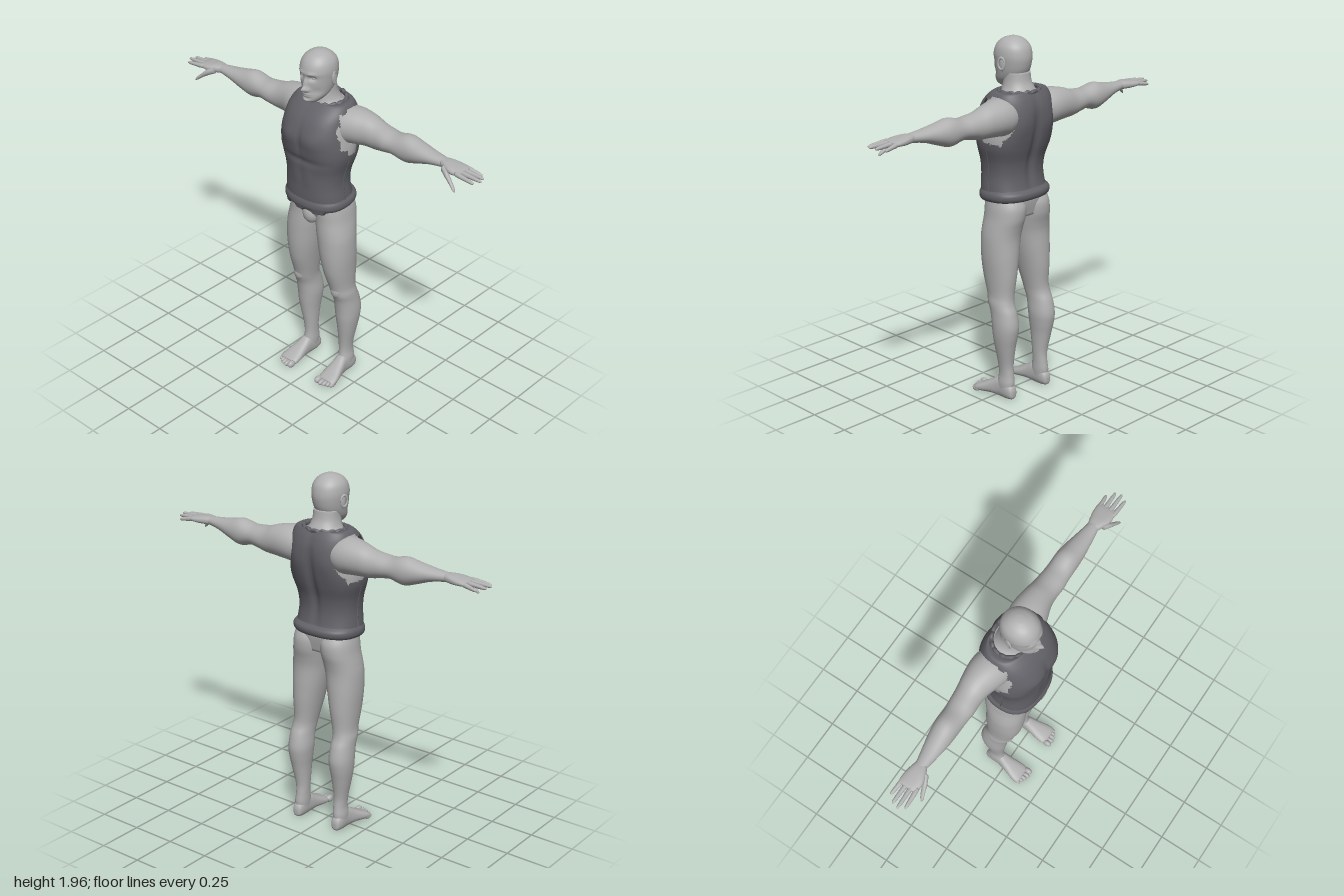
import * as THREE from 'three';

const skin = new THREE.MeshStandardMaterial({ color: 0xb0b0b0 });
skin.name = 'skin grey';
const cloth = new THREE.MeshStandardMaterial({ color: 0x626167, side: THREE.DoubleSide });
cloth.name = 'vest dark grey';

// Smooth interpolation of a table row at fractional index u
function rowAt(rows, u) {
  const i = Math.min(Math.floor(u), rows.length - 2), f = u - i;
  const r = k => rows[Math.max(0, Math.min(rows.length - 1, k))];
  return rows[0].map((_, c) => {
    const a = r(i - 1)[c], b = r(i)[c], d = r(i + 1)[c], e = r(i + 2)[c];
    const m0 = (d - a) / 2, m1 = (e - b) / 2, f2 = f * f, f3 = f2 * f;
    return (2 * f3 - 3 * f2 + 1) * b + (f3 - 2 * f2 + f) * m0 + (3 * f2 - 2 * f3) * d + (f3 - f2) * m1;
  });
}

// Loft of superellipse rings. Row: [t, a0, a1, b0, b1], axes (t,a,b) = xyz, yzx or zxy
function loft(rows, axis, { segs = 32, sub = 5, n = 2.2, caps = true, deform, skip } = {}) {
  const place = (t, a, b) => axis === 'x' ? new THREE.Vector3(t, a, b)
    : axis === 'y' ? new THREE.Vector3(b, t, a) : new THREE.Vector3(a, b, t);
  const pts = [], idx = [], count = (rows.length - 1) * sub + 1;
  const pw = v => Math.sign(v) * Math.abs(v) ** (2 / n);
  for (let i = 0; i < count; i++) {
    const [t, a0, a1, b0, b1] = rowAt(rows, i / sub);
    for (let j = 0; j < segs; j++) {
      const w = j / segs * Math.PI * 2;
      pts.push(place(t, (a0 + a1) / 2 + (a1 - a0) / 2 * pw(Math.cos(w)), (b0 + b1) / 2 + (b1 - b0) / 2 * pw(Math.sin(w))));
    }
  }
  if (deform) pts.forEach(deform);
  for (let i = 0; i < count - 1; i++) for (let j = 0; j < segs; j++) {
    const k = (j + 1) % segs, a = i * segs + j, b = i * segs + k, c = b + segs, d = a + segs;
    if (skip && skip(pts[a].clone().add(pts[c]).multiplyScalar(0.5))) continue;
    idx.push(a, b, c, a, c, d);
  }
  if (caps) for (const [start, flip] of [[0, true], [(count - 1) * segs, false]]) {
    const mid = new THREE.Vector3();
    for (let j = 0; j < segs; j++) mid.addScaledVector(pts[start + j], 1 / segs);
    const m = pts.push(mid) - 1;
    for (let j = 0; j < segs; j++) {
      const a = start + j, b = start + (j + 1) % segs;
      flip ? idx.push(m, b, a) : idx.push(m, a, b);
    }
  }
  const g = new THREE.BufferGeometry().setFromPoints(pts);
  g.setIndex(idx);
  g.computeVertexNormals();
  return g;
}

function ball(x, y, z, rx, ry, rz) {
  return new THREE.SphereGeometry(1, 20, 14).scale(rx, ry, rz).translate(x, y, z);
}

function mirrored(g) {
  const m = g.clone().scale(-1, 1, 1), ix = m.index.array;
  for (let i = 0; i < ix.length; i += 3) [ix[i], ix[i + 1]] = [ix[i + 1], ix[i]];
  m.computeVertexNormals();
  return m;
}

export function createModel() {
  const root = new THREE.Group();
  root.name = 'figure';
  const add = (name, g, mat = skin) => {
    const m = new THREE.Mesh(g, mat);
    m.name = name;
    root.add(m);
  };
  const pair = (name, g, mat) => { add('left ' + name, g, mat); add('right ' + name, mirrored(g), mat); };
  const bell = (v, x, y, sx, sy) => Math.exp(-(((v.x - x) / sx) ** 2) - ((v.y - y) / sy) ** 2);

  // Head with sculpted face
  add('head', loft([
    [1.695, 0.04, 0.09, -0.025, 0.025], [1.712, 0.0, 0.112, -0.047, 0.047], [1.74, -0.04, 0.114, -0.068, 0.068],
    [1.78, -0.075, 0.113, -0.08, 0.08], [1.83, -0.09, 0.115, -0.088, 0.088], [1.87, -0.091, 0.117, -0.091, 0.091],
    [1.91, -0.08, 0.104, -0.083, 0.083], [1.94, -0.052, 0.077, -0.06, 0.06], [1.956, -0.02, 0.04, -0.028, 0.028],
    [1.96, 0.005, 0.015, -0.005, 0.005]], 'y', {
    segs: 80, sub: 8, n: 2.1, deform: v => {
      if (v.z < 0.03) return;
      const s = { x: Math.abs(v.x), y: v.y };
      v.z += 0.03 * bell(v, 0, 1.777, 0.013, 0.014) + 0.017 * bell(v, 0, 1.805, 0.011, 0.028)
        + 0.009 * bell(s, 0.016, 1.772, 0.008, 0.009) - 0.015 * bell(s, 0.034, 1.838, 0.018, 0.013)
        + 0.006 * bell(s, 0.03, 1.861, 0.026, 0.009) + 0.009 * bell(v, 0, 1.75, 0.024, 0.005)
        + 0.008 * bell(v, 0, 1.738, 0.02, 0.005) - 0.004 * bell(v, 0, 1.727, 0.02, 0.006)
        + 0.007 * bell(v, 0, 1.712, 0.022, 0.01) - 0.006 * bell(s, 0.055, 1.765, 0.02, 0.022);
    }
  }));
  pair('eye', ball(0.034, 1.838, 0.085, 0.015, 0.009, 0.014));
  pair('ear', ball(0.089, 1.825, 0.008, 0.008, 0.037, 0.019).rotateY(0.08));
  pair('ear rim', new THREE.TorusGeometry(0.019, 0.005, 8, 24).scale(1, 1.55, 1).rotateY(Math.PI / 2 + 0.3).translate(0.094, 1.828, 0.004));
  add('neck', loft([[1.6, -0.13, 0.06, -0.14, 0.14], [1.655, -0.125, 0.06, -0.12, 0.12], [1.69, -0.108, 0.055, -0.087, 0.087],
    [1.73, -0.088, 0.052, -0.073, 0.073], [1.78, -0.08, 0.05, -0.07, 0.07]], 'y'));

  // Torso under the vest, and the torn vest shell
  const vest = [
    [1.13, -0.14, 0.147, -0.184, 0.184], [1.18, -0.122, 0.15, -0.178, 0.178], [1.25, -0.113, 0.15, -0.172, 0.172],
    [1.32, -0.12, 0.152, -0.18, 0.18], [1.4, -0.145, 0.163, -0.203, 0.203], [1.46, -0.16, 0.17, -0.208, 0.208],
    [1.53, -0.17, 0.172, -0.2, 0.2], [1.6, -0.17, 0.15, -0.19, 0.19], [1.65, -0.157, 0.115, -0.18, 0.18],
    [1.687, -0.137, 0.073, -0.157, 0.157], [1.69, -0.132, 0.064, -0.125, 0.125], [1.675, -0.125, 0.06, -0.105, 0.105]];
  const muscles = v => {
    const s = { x: Math.abs(v.x), y: v.y };
    if (v.z > 0.04) v.z += 0.009 * bell(s, 0.08, 1.51, 0.06, 0.06) - 0.006 * bell(v, 0, 1.5, 0.012, 0.1)
      - 0.007 * bell(v, 0, 1.39, 0.13, 0.02) + 0.004 * bell(s, 0.04, 1.3, 0.035, 0.06);
    if (v.z < -0.04) v.z += 0.016 * bell(v, 0, 1.4, 0.025, 0.22) - 0.008 * bell(s, 0.1, 1.53, 0.05, 0.07);
  };
  const torso = vest.slice(0, 10).map(([y, a, b, c, d]) => [y - 0.014, a + 0.013, b - 0.013, c + 0.014, d - 0.014]);
  add('torso', loft([[1.02, -0.11, 0.085, -0.15, 0.15], ...torso], 'y', { segs: 64, n: 2.4, deform: muscles }));
  add('vest', loft(vest, 'y', {
    segs: 160, sub: 10, n: 2.45, caps: false, deform: muscles,
    skip: c => {
      if (Math.abs(c.x) < 0.1 || c.y > 1.672) return false;
      const dz = (c.z + 0.035) / 0.115, dy = (c.y - 1.55) / 0.125, w = Math.atan2(dy, dz);
      const torn = 0.11 * ((w * 2.1 + 10) % 1) + 0.06 * Math.sin(w * 9);
      return Math.hypot(dz, dy) < 0.93 + (dz > -0.5 ? torn : 0);
    }
  }), cloth);

  // Rolled hem, uneven along its lower edge
  add('vest hem', loft([
    [1.112, -0.12, 0.12, -0.16, 0.16], [1.108, -0.14, 0.142, -0.178, 0.178], [1.125, -0.152, 0.156, -0.19, 0.19],
    [1.148, -0.15, 0.156, -0.19, 0.19], [1.166, -0.128, 0.149, -0.179, 0.179]], 'y', {
    segs: 96, n: 2.45, caps: false, deform: v => {
      if (v.y < 1.12 && v.z > 0) v.y -= 0.014 * Math.max(0, Math.sign(Math.cos(v.x * 55 + 0.8))) * (Math.abs(v.x) < 0.13 ? 1 : 0);
      v.y -= v.z * 0.06;
    }
  }), cloth);
  const collar = [];
  for (let i = 0; i < 40; i++) {
    const w = i / 40 * Math.PI * 2;
    collar.push(new THREE.Vector3(0.115 * Math.cos(w), 1.687 + 0.005 * Math.sin(i * 2.4) - 0.008 * Math.max(0, Math.sin(w)), -0.033 + 0.098 * Math.sin(w)));
  }
  add('vest collar', new THREE.TubeGeometry(new THREE.CatmullRomCurve3(collar, true), 120, 0.011, 8, true), cloth);
  const seam = vest.slice(0, 5).map(r => new THREE.Vector3(r[4], r[0], (r[1] + r[2]) / 2));
  pair('vest side seam', new THREE.TubeGeometry(new THREE.CatmullRomCurve3(seam), 24, 0.004, 6), cloth);

  // Arms
  pair('arm', loft([
    [0.09, 1.5, 1.65, -0.14, 0.04], [0.15, 1.475, 1.668, -0.155, 0.05], [0.21, 1.48, 1.668, -0.156, 0.035],
    [0.28, 1.487, 1.655, -0.147, 0.012], [0.34, 1.49, 1.635, -0.138, 0.005], [0.4, 1.502, 1.625, -0.132, 0.008],
    [0.455, 1.508, 1.622, -0.126, 0.004], [0.53, 1.492, 1.638, -0.127, 0.002], [0.6, 1.512, 1.625, -0.118, 0],
    [0.68, 1.54, 1.611, -0.1, -0.008], [0.76, 1.555, 1.603, -0.083, -0.018], [0.8, 1.556, 1.6, -0.085, -0.012]], 'x', { n: 2.05 }));

  // Hands: palm, four fingers and a thumb
  pair('palm', loft([[0.755, 1.558, 1.601, -0.08, -0.02], [0.79, 1.556, 1.602, -0.09, -0.004], [0.83, 1.556, 1.598, -0.098, 0.01],
    [0.87, 1.56, 1.592, -0.1, 0.008], [0.892, 1.566, 1.586, -0.095, 0.003]], 'x', { n: 2.5 }));
  for (const [name, tip, z0, z1, y1] of [['index finger', 0.98, 0, 0.006, 1.568], ['middle finger', 1, -0.028, -0.026, 1.573],
    ['ring finger', 0.99, -0.056, -0.06, 1.57], ['little finger', 0.957, -0.083, -0.094, 1.561]]) {
    const rows = [[0, 0.011], [0.25, 0.0125], [0.5, 0.011], [0.75, 0.01], [0.94, 0.007], [1, 0.002]].map(([f, r]) => {
      const x = 0.865 + (tip - 0.865) * f, y = 1.577 + (y1 - 1.577) * f, z = z0 + (z1 - z0) * f;
      return [x, y - r, y + r, z - r, z + r];
    });
    pair(name, loft(rows, 'x', { segs: 12, sub: 3, n: 2 }));
  }
  pair('thumb', loft([[0.785, 1.556, 1.592, -0.025, 0.008], [0.82, 1.541, 1.577, -0.008, 0.024], [0.85, 1.524, 1.552, 0.008, 0.032],
    [0.875, 1.506, 1.529, 0.018, 0.039], [0.889, 1.498, 1.513, 0.027, 0.04], [0.893, 1.499, 1.504, 0.032, 0.037]], 'x', { segs: 14, n: 2 }));

  // Legs
  pair('leg', loft([
    [0.04, -0.11, -0.01, 0.1, 0.165], [0.09, -0.117, -0.012, 0.096, 0.168], [0.14, -0.111, -0.02, 0.096, 0.163],
    [0.2, -0.108, -0.018, 0.094, 0.168], [0.3, -0.125, -0.004, 0.088, 0.187], [0.37, -0.14, 0.006, 0.08, 0.198],
    [0.43, -0.146, 0.012, 0.075, 0.201], [0.5, -0.132, 0.024, 0.078, 0.198], [0.55, -0.112, 0.043, 0.076, 0.197],
    [0.6, -0.106, 0.055, 0.068, 0.192], [0.7, -0.113, 0.085, 0.048, 0.199], [0.8, -0.114, 0.1, 0.028, 0.206],
    [0.9, -0.112, 0.104, 0.012, 0.206], [0.96, -0.12, 0.103, 0.002, 0.199], [1.02, -0.134, 0.1, -0.005, 0.188],
    [1.08, -0.134, 0.1, -0.01, 0.18], [1.13, -0.11, 0.095, -0.01, 0.17]], 'y', { segs: 36, n: 2.15 }));
  pair('kneecap', ball(0.135, 0.575, 0.025, 0.036, 0.045, 0.028));
  add('groin', ball(0, 1.04, 0.075, 0.05, 0.06, 0.044));

  // Feet with toes
  pair('foot', loft([
    [-0.127, 0.122, 0.145, 0.02, 0.05], [-0.118, 0.108, 0.158, 0.006, 0.075], [-0.085, 0.1, 0.166, 0, 0.105],
    [-0.03, 0.098, 0.168, 0, 0.118], [0.02, 0.094, 0.18, 0.004, 0.09], [0.07, 0.088, 0.195, 0.002, 0.062],
    [0.105, 0.088, 0.2, 0, 0.045], [0.125, 0.094, 0.195, 0.004, 0.033]], 'z', { n: 2.4 }));
  [[0.103, 0.135, 0.017], [0.129, 0.136, 0.0125], [0.151, 0.13, 0.012], [0.171, 0.121, 0.0115], [0.189, 0.11, 0.011]]
    .forEach(([x, z, r], i) => pair('toe ' + (i + 1), ball(x, r + 0.003, z, r, r + 0.003, 0.026)));

  return root;
}
